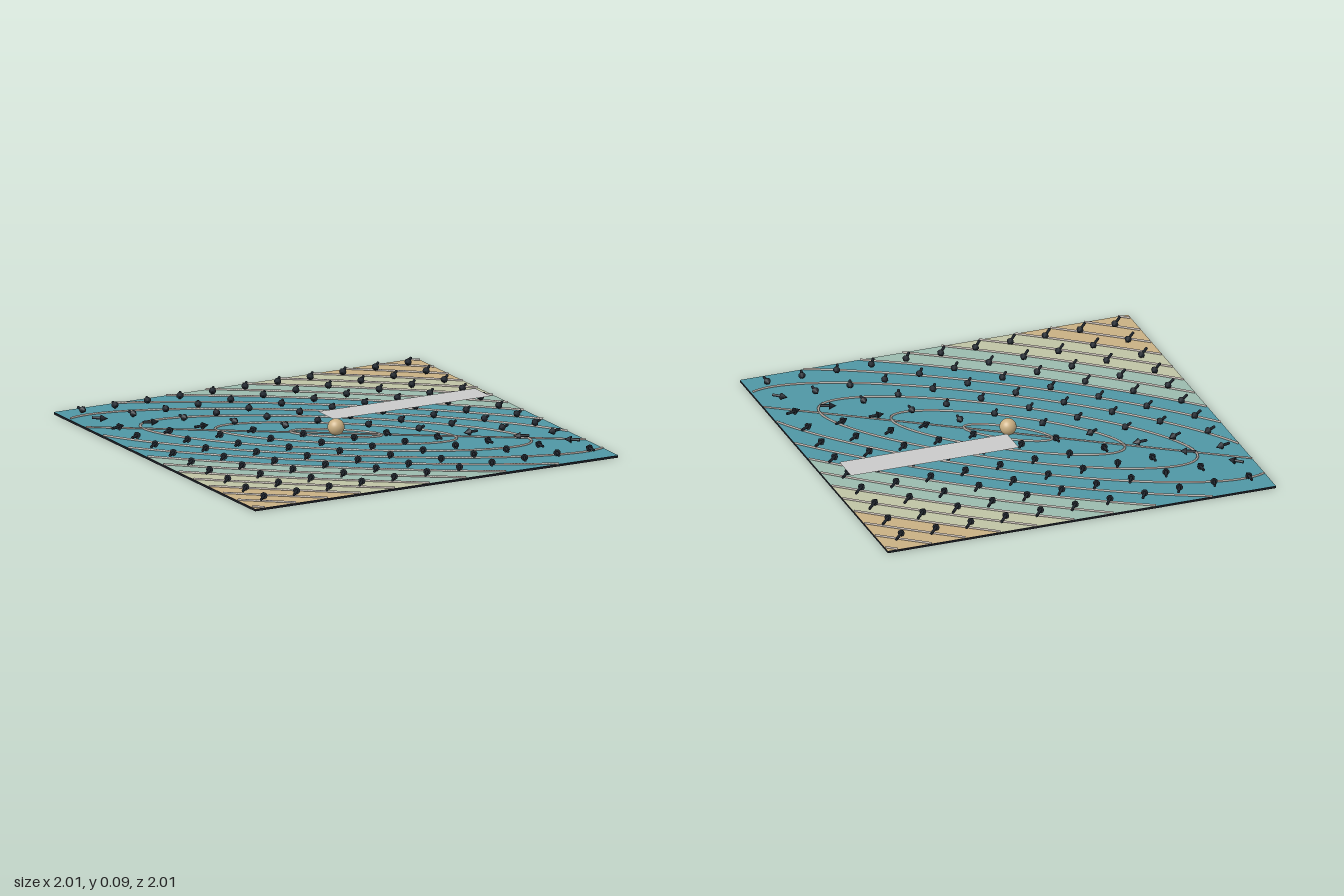
import * as THREE from 'three';

const mat = (name, color) => {
  const m = new THREE.MeshStandardMaterial({ color });
  m.name = name;
  return m;
};

// Elliptical bowl: every level line is an ellipse with x half-width equal to its level
const RHO = 0.83, ZS = 0.82;
const level = (x, z) => {
  const w = z / ZS;
  return Math.sqrt((x * x - 2 * RHO * x * w + w * w) / (1 - RHO * RHO));
};
const slope = (x, z) => [x - RHO * z / ZS, (z / ZS - RHO * x) / ZS];
const squareRadius = (a) => 1 / Math.max(Math.abs(Math.cos(a)), Math.abs(Math.sin(a)));
const levelRadius = (a, l) => l / level(Math.cos(a), Math.sin(a));

const FIRST = 0.18, STEP = 0.295;
const TOP = 0.012;

// Flat band between two level lines, clipped to the square board
function bandGeometry(inner, outer) {
  const N = 720, pos = [], idx = [];
  for (let i = 0; i <= N; i++) {
    const a = (i / N) * Math.PI * 2;
    for (const l of [inner, outer]) {
      const r = Math.min(squareRadius(a), levelRadius(a, l));
      pos.push(r * Math.cos(a), TOP, r * Math.sin(a));
    }
    if (i < N) {
      const k = i * 2;
      idx.push(k, k + 2, k + 1, k + 1, k + 2, k + 3);
    }
  }
  const g = new THREE.BufferGeometry();
  g.setAttribute('position', new THREE.Float32BufferAttribute(pos, 3));
  g.setAttribute('normal', new THREE.Float32BufferAttribute(pos.map((_, i) => (i % 3 === 1 ? 1 : 0)), 3));
  g.setIndex(idx);
  return g;
}

// Runs of a level line that lie on the board
function contourRuns(l) {
  const N = 1440, pts = [];
  for (let i = 0; i < N; i++) {
    const a = (i / N) * Math.PI * 2, r = levelRadius(a, l);
    pts.push(r <= squareRadius(a) ? new THREE.Vector3(r * Math.cos(a), TOP + 0.002, r * Math.sin(a)) : null);
  }
  const start = pts.indexOf(null);
  if (start < 0) return [{ pts: pts.filter((_, i) => i % 6 === 0), closed: true }];
  const runs = [];
  let run = [];
  for (let i = 0; i <= N; i++) {
    const p = pts[(start + i) % N];
    if (p) run.push(p);
    else {
      if (run.length > 3) runs.push({ pts: run, closed: false });
      run = [];
    }
  }
  return runs;
}

export function createModel() {
  const root = new THREE.Group();
  root.name = 'contourBoard';
  const dark = mat('darkSlate', 0x1c2027);
  const arrowMat = mat('arrowInk', 0x20262e);
  const lineMat = mat('contourGrey', 0xaa9f98);
  const axisMat = mat('valleyBrown', 0x8a7d77);
  const bandMats = [
    mat('teal', 0x4f97a4), mat('paleGreen', 0x9bbbae),
    mat('khaki', 0xbfc3a4), mat('tan', 0xc9b083),
  ];
  const ballMat = mat('ballGold', 0xcbb083);
  const plateMat = mat('plateGrey', 0xcacaca);
  plateMat.side = THREE.DoubleSide;

  const add = (parent, name, geo, material, x = 0, y = 0, z = 0) => {
    const m = new THREE.Mesh(geo, material);
    m.name = name;
    m.position.set(x, y, z);
    parent.add(m);
    return m;
  };

  // Base slab
  add(root, 'baseSlab', new THREE.BoxGeometry(2, 0.01, 2), dark, 0, 0.005, 0);

  // Coloured height bands
  const edges = [0, 5, 7, 9].map((k) => (k ? FIRST + k * STEP : 0)).concat(10);
  bandMats.forEach((m, i) => add(root, 'heightBand' + (i + 1), bandGeometry(edges[i], edges[i + 1]), m));

  // Contour lines
  const contours = new THREE.Group();
  contours.name = 'contourLines';
  root.add(contours);
  for (let k = 0; k < 13; k++) {
    for (const { pts, closed } of contourRuns(FIRST + k * STEP)) {
      const curve = new THREE.CatmullRomCurve3(pts, closed);
      add(contours, 'contourLine', new THREE.TubeGeometry(curve, 140, 0.006, 6, closed), lineMat);
    }
  }

  // Straight valley line
  const s = RHO * ZS;
  const valley = new THREE.LineCurve3(new THREE.Vector3(-1, TOP + 0.002, -s), new THREE.Vector3(1, TOP + 0.002, s));
  add(root, 'valleyLine', new THREE.TubeGeometry(valley, 1, 0.005, 6), axisMat);

  // Arrows pointing downhill on an 11 by 11 grid
  const arrows = new THREE.Group();
  arrows.name = 'slopeArrows';
  root.add(arrows);
  const HEAD = 0.036;
  const headGeo = new THREE.ConeGeometry(0.018, HEAD, 8);
  const shaftGeo = new THREE.CylinderGeometry(0.007, 0.007, 1, 8);
  for (let i = -5; i <= 5; i++) {
    for (let j = -5; j <= 5; j++) {
      if (!i && !j) continue;
      const x = i * 0.18, z = j * 0.18;
      const [gx, gz] = slope(x, z);
      const size = Math.hypot(gx, gz);
      const len = 0.075 + 0.035 * Math.min(1, size / 2);
      const arrow = new THREE.Group();
      arrow.name = 'arrow';
      arrow.position.set(x, 0.036, z);
      arrow.quaternion.setFromUnitVectors(
        new THREE.Vector3(0, 1, 0), new THREE.Vector3(-gx / size, 0, -gz / size));
      add(arrow, 'arrowHead', headGeo, arrowMat, 0, len / 2 - HEAD / 2, 0);
      add(arrow, 'arrowShaft', shaftGeo, arrowMat, 0, -HEAD / 2, 0).scale.y = len - HEAD;
      arrows.add(arrow);
    }
  }

  // Ball at the lowest point
  add(root, 'centreBall', new THREE.SphereGeometry(0.041, 32, 20), ballMat, 0, 0.046, 0);

  // Blank plate floating just above the arrows
  add(root, 'blankPlate', new THREE.PlaneGeometry(0.865, 0.16), plateMat, 0.472, 0.056, -0.172)
    .rotation.x = -Math.PI / 2;

  return root;
}
